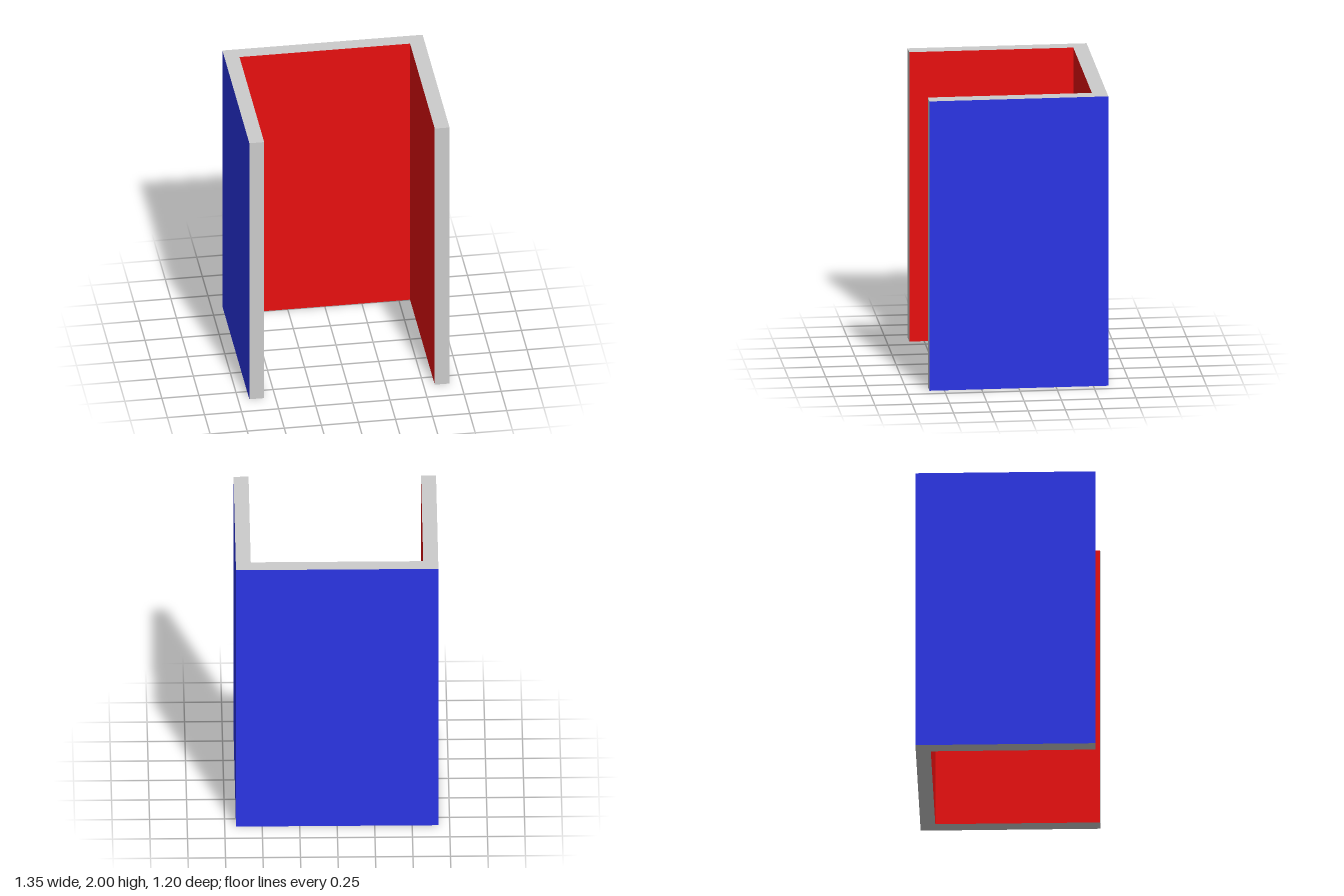
import * as THREE from 'three';

const HEIGHT = 2;

// Plan points as [x, z]; the faces of a strip look to the right of its travel.
const OUTER = [[0.675, 0.6], [0.675, -0.6], [-0.675, -0.6], [-0.675, 0.6]];
const INNER = [[-0.575, 0.6], [-0.575, -0.5], [0.575, -0.5], [0.575, 0.6]];

// Upright flat faces standing along a plan path
function strip(path) {
  const positions = [];
  for (let i = 0; i < path.length - 1; i++) {
    const [ax, az] = path[i];
    const [bx, bz] = path[i + 1];
    positions.push(ax, 0, az, bx, 0, bz, bx, HEIGHT, bz);
    positions.push(ax, 0, az, bx, HEIGHT, bz, ax, HEIGHT, az);
  }
  const geometry = new THREE.BufferGeometry();
  geometry.setAttribute('position', new THREE.Float32BufferAttribute(positions, 3));
  geometry.computeVertexNormals();
  return geometry;
}

// Horizontal U-shaped edge, facing up (side = 1) or down (side = -1)
function cap(side) {
  const outline = [...OUTER, ...INNER].map(([x, z]) => new THREE.Vector2(x, -side * z));
  return new THREE.ShapeGeometry(new THREE.Shape(outline)).rotateX(-side * Math.PI / 2);
}

export function createModel() {
  const model = new THREE.Group();
  model.name = 'threeSidedScreen';
  const grey = new THREE.MeshStandardMaterial({ color: 0xcccccc });
  const red = new THREE.MeshStandardMaterial({ color: 0xe91010 });
  const blue = new THREE.MeshStandardMaterial({ color: 0x2b35e6 });

  const add = (name, geometry, material) => {
    const mesh = new THREE.Mesh(geometry, material);
    mesh.name = name;
    model.add(mesh);
    return mesh;
  };

  // Painted wall faces
  add('outerWalls', strip(OUTER), blue);
  add('innerWalls', strip(INNER), red);

  // Bare edges of the walls
  add('leftFrontEdge', strip([INNER[3], OUTER[0]]), grey);
  add('rightFrontEdge', strip([OUTER[3], INNER[0]]), grey);
  add('topEdge', cap(1), grey).position.y = HEIGHT;
  add('bottomEdge', cap(-1), grey);

  return model;
}
